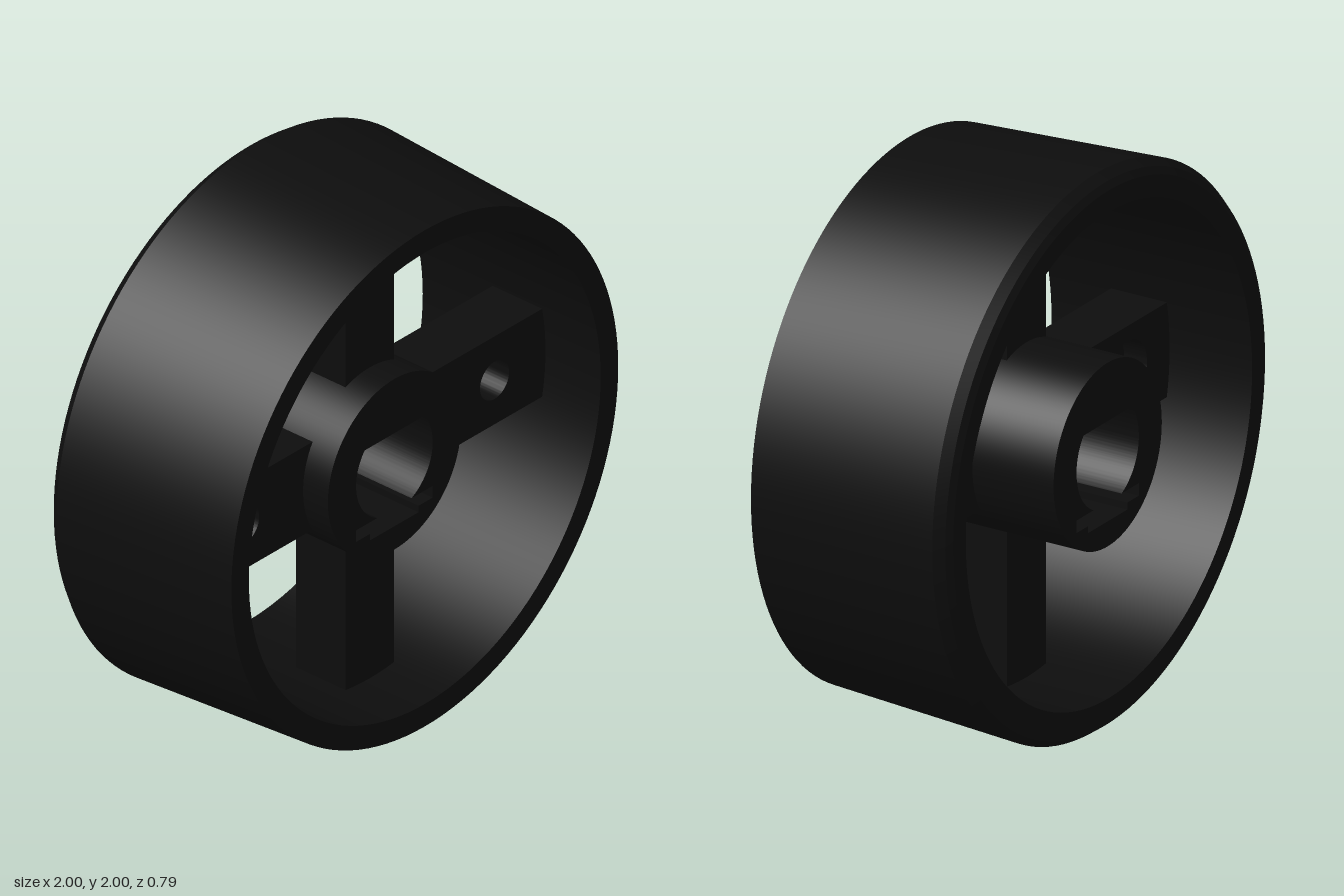
import * as THREE from 'three';
import { toCreasedNormals } from 'three/addons/utils/BufferGeometryUtils.js';

const SPOKE_FRONT = 0.15, SPOKE_BACK = -0.07;

// Extrude a flat shape between two depths
function slab(shape, zBack, zFront) {
  const geo = new THREE.ExtrudeGeometry(shape, {
    depth: zFront - zBack, bevelEnabled: false, curveSegments: 48,
  });
  geo.translate(0, 0, zBack);
  return toCreasedNormals(geo, 0.5);
}

export function createModel() {
  const black = new THREE.MeshStandardMaterial({ color: 0x0d0d0d });
  black.name = 'black plastic';
  const wheel = new THREE.Group();
  wheel.name = 'wheel';
  const add = (name, geo) => {
    const mesh = new THREE.Mesh(geo, black);
    mesh.name = name;
    wheel.add(mesh);
    return mesh;
  };

  // Rim: tapered outside, chamfered back edge, straight bore
  const profile = [
    [0.873, -0.395], [0.95, -0.395], [0.975, -0.38], [1, -0.345],
    [0.96, 0.395], [0.873, 0.395], [0.873, -0.395],
  ].map(([r, z]) => new THREE.Vector2(r, z));
  const rim = new THREE.LatheGeometry(profile, 128);
  rim.rotateX(Math.PI / 2);
  add('rim', toCreasedNormals(rim, 0.35));

  // Hub: flat-topped bore opening into a stepped slot below
  const hub = new THREE.Shape().absarc(0, 0, 0.33, 0, Math.PI * 2, false);
  const bore = new THREE.Path();
  const r = 0.19, top = Math.asin(0.12 / r), low = Math.asin(0.17 / r);
  bore.absarc(0, 0, r, Math.PI - top, Math.PI + low, false);
  for (const [x, y] of [[-0.19, -0.17], [-0.19, -0.215], [-0.12, -0.215], [-0.12, -0.24],
    [0.12, -0.24], [0.12, -0.215], [0.19, -0.215], [0.19, -0.17]]) bore.lineTo(x, y);
  bore.absarc(0, 0, r, -low, top, false);
  bore.closePath();
  hub.holes.push(bore);
  add('hub', slab(hub, -0.39, 0.26));

  for (const side of [-1, 1]) {
    // Vertical spokes
    const spoke = add(side > 0 ? 'upperSpoke' : 'lowerSpoke',
      new THREE.BoxGeometry(0.24, 0.61, SPOKE_FRONT - SPOKE_BACK));
    spoke.position.set(0, side * 0.585, (SPOKE_FRONT + SPOKE_BACK) / 2);

    // Side spokes: bolt hole with a wider recess at the back
    const plate = (holeRadius) => {
      const a = side * 0.575 - 0.325, b = side * 0.575 + 0.325;
      const s = new THREE.Shape([[a, -0.17], [b, -0.17], [b, 0.17], [a, 0.17]]
        .map(([x, y]) => new THREE.Vector2(x, y)));
      s.holes.push(new THREE.Path().absarc(side * 0.62, 0, holeRadius, 0, Math.PI * 2, true));
      return s;
    };
    const name = side > 0 ? 'leftSpoke' : 'rightSpoke';
    add(name + 'Front', slab(plate(0.072), 0.02, SPOKE_FRONT));
    add(name + 'Back', slab(plate(0.115), SPOKE_BACK, 0.02));
  }

  wheel.position.y = 1;
  const model = new THREE.Group();
  model.name = 'spokedWheel';
  model.add(wheel);
  return model;
}
